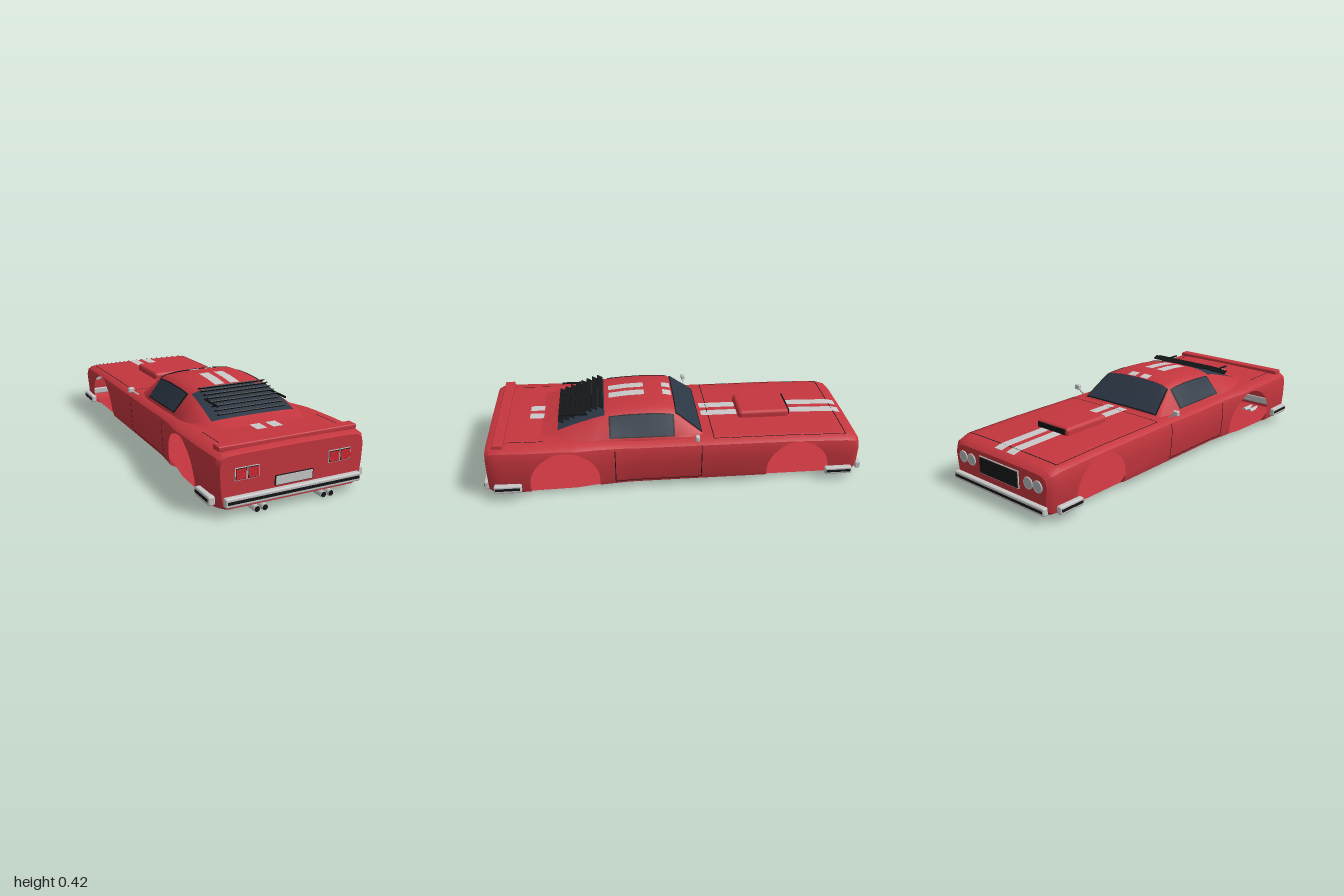
import * as THREE from 'three';
import { toCreasedNormals } from 'three/addons/utils/BufferGeometryUtils.js';
import { RoundedBoxGeometry } from 'three/addons/geometries/RoundedBoxGeometry.js';

const mat = (name, color, side = THREE.FrontSide) => {
  const m = new THREE.MeshStandardMaterial({ color, side });
  m.name = name;
  return m;
};
const paint = mat('red paint', 0xc5363e, THREE.DoubleSide);
const chrome = mat('chrome', 0xc6c6c6);
const stripe = mat('stripe grey', 0xc9c9c9, THREE.DoubleSide);
const black = mat('black trim', 0x141516, THREE.DoubleSide);
const glass = mat('tinted glass', 0x2c3745, THREE.DoubleSide);
const lamp = mat('tail lamp red', 0xd22832);
const lens = mat('headlamp lens', 0xb4b8ba);

// piecewise linear lookup in [key, value] pairs
function look(keys, t) {
  if (t <= keys[0][0]) return keys[0][1];
  for (let i = 1; i < keys.length; i++) {
    const [a, va] = keys[i - 1], [b, vb] = keys[i];
    if (t <= b) return b === a ? vb : va + (vb - va) * (t - a) / (b - a);
  }
  return keys[keys.length - 1][1];
}

// body outline along z; the nose points to -z
const HALF = [[-0.975, 0.325], [-0.955, 0.343], [-0.9, 0.354], [-0.2, 0.352], [0.25, 0.352], [0.4, 0.366], [0.52, 0.388], [0.75, 0.395], [0.9, 0.392], [0.95, 0.386], [0.972, 0.372]];
const TOP = [[-0.975, 0.222], [-0.955, 0.24], [-0.9, 0.254], [-0.6, 0.262], [0.2, 0.266], [0.4, 0.276], [0.6, 0.288], [0.9, 0.293], [0.95, 0.289], [0.972, 0.28]];
const LOW = [[-0.975, 0.04], [-0.94, 0.022], [0.92, 0.02], [0.972, 0.035]];
const ARCHES = [{ z: 0.58, y: 0.08, r: 0.178 }, { z: -0.645, y: 0.075, r: 0.165 }];

// side profile as [height, half width]
function bodyProfile(z) {
  const w = look(HALF, z), t = look(TOP, z), l = look(LOW, z);
  return [[l, w - 0.05], [l + 0.015, w - 0.02], [l + 0.05, w - 0.01], [0.15, w - 0.003], [t - 0.05, w],
    [t - 0.02, w - 0.008], [t - 0.004, w - 0.03], [t, w - 0.08], [t + 0.003, 0]];
}
const bodySide = (z, y) => look(bodyProfile(z), y);

// cabin outline along z
const ROOF = [[-0.155, 0.262], [-0.14, 0.272], [-0.01, 0.396], [0.03, 0.408], [0.13, 0.415], [0.25, 0.411], [0.35, 0.4], [0.42, 0.384], [0.52, 0.348], [0.62, 0.306], [0.72, 0.288]];
const SILL = [[-0.155, 0.285], [0, 0.303], [0.3, 0.305], [0.45, 0.315], [0.6, 0.3], [0.72, 0.26]];
const RAIL = [[-0.155, 0.262], [0, 0.226], [0.3, 0.22], [0.45, 0.222], [0.62, 0.235], [0.72, 0.23]];
function cabinProfile(z) {
  const b = look(TOP, z) - 0.012, h = look(ROOF, z) - b, s = look(SILL, z), r = look(RAIL, z);
  return [[0, s], [0.15, s - 0.007], [0.8, r], [0.92, r - 0.042], [0.98, r * 0.5], [1, 0]].map(([k, x]) => [b + k * h, x]);
}
const heightOf = (profile, x) => look(profile.map(([y, px]) => [px, y]).reverse(), Math.abs(x));
function surfaceY(z, x) {
  const body = heightOf(bodyProfile(z), x);
  return z > -0.155 && z < 0.72 && Math.abs(x) < look(SILL, z) ? Math.max(body, heightOf(cabinProfile(z), x)) : body;
}

// skin over sections, each a list of [x, y, z]
function loft(sections, caps) {
  const n = sections[0].length, pos = sections.flat(2), idx = [];
  for (let i = 0; i < sections.length - 1; i++) for (let j = 0; j < n - 1; j++) {
    const a = i * n + j, c = a + n;
    idx.push(a, a + 1, c, a + 1, c + 1, c);
  }
  if (caps) for (const end of [0, sections.length - 1]) {
    const centre = pos.length / 3, o = end * n;
    pos.push(0, 0.15, sections[end][0][2]);
    for (let j = 0; j < n; j++) {
      const a = o + j, b = o + (j + 1) % n;
      idx.push(centre, end ? a : b, end ? b : a);
    }
  }
  const g = new THREE.BufferGeometry();
  g.setAttribute('position', new THREE.Float32BufferAttribute(pos, 3));
  g.setIndex(idx);
  return toCreasedNormals(g, 0.6);
}
// mirrored ring from a half profile; points under the cut height slide up to it
function ring(profile, z, cut = -1) {
  const half = profile.map(([y]) => {
    const h = Math.max(y, cut);
    return [look(profile, h), h, z];
  });
  return [...half, ...half.slice(0, -1).reverse().map(([x, y]) => [-x, y, z])];
}
// thin sheet from a function of u, v
function sheet(fn, nu, nv) {
  const rows = [];
  for (let i = 0; i <= nu; i++) rows.push(Array.from({ length: nv + 1 }, (_, j) => fn(i / nu, j / nv)));
  return loft(rows);
}

export function createModel() {
  const car = new THREE.Group();
  car.name = 'car';
  const add = (name, geo, m, x = 0, y = 0, z = 0) => {
    const mesh = new THREE.Mesh(geo, m);
    mesh.name = name;
    mesh.position.set(x, y, z);
    car.add(mesh);
    return mesh;
  };
  const box = (name, m, w, h, d, x, y, z) => add(name, new THREE.BoxGeometry(w, h, d), m, x, y, z);
  const soft = (name, m, w, h, d, x, y, z, r = 0.008) => add(name, new RoundedBoxGeometry(w, h, d, 3, r), m, x, y, z);
  // sheet draped over the upper surfaces
  const drape = (name, m, x0, x1, z0, z1, lift = 0.003, x2 = x0, x3 = x1) => add(name, sheet((u, v) => {
    const z = z0 + (z1 - z0) * u, a = x0 + (x2 - x0) * u, b = x1 + (x3 - x1) * u, x = b + (a - b) * v;
    return [x, surfaceY(z, x) + lift, z];
  }, Math.max(2, Math.ceil(Math.abs(z1 - z0) * 50)), Math.max(1, Math.ceil(Math.abs(x1 - x0) * 40))), m);

  // hollow body shell with open wheel arches, and a flat floor
  const stations = [...new Set([...HALF, ...TOP, ...LOW].map(k => k[0]))]
    .filter(z => ARCHES.every(a => Math.abs(z - a.z) > a.r)).map(z => [z, -1]);
  for (const a of ARCHES) {
    stations.push([a.z - a.r - 1e-5, -1], [a.z + a.r + 1e-5, -1]);
    for (let i = 0; i <= 28; i++) {
      const t = Math.PI * i / 28;
      stations.push([a.z - a.r * Math.cos(t), a.y + a.r * Math.sin(t)]);
    }
  }
  stations.sort((a, b) => a[0] - b[0]);
  add('bodyShell', loft(stations.map(([z, cut]) => ring(bodyProfile(z), z, cut)), true), paint);
  add('floor', loft(stations.map(([z]) => {
    const [y, x] = bodyProfile(z)[0];
    return [[-x, y, z], [x, y, z]];
  })), paint);
  const cabinZ = [...new Set([...ROOF, ...SILL, ...RAIL].map(k => k[0]))].sort((a, b) => a - b);
  add('cabin', loft(cabinZ.map(z => ring(cabinProfile(z), z))), paint);

  // glass
  drape('windshieldSeal', black, -0.254, 0.254, -0.143, -0.002, 0.003, -0.222, 0.222);
  drape('windshield', glass, -0.246, 0.246, -0.138, -0.008, 0.006, -0.215, 0.215);
  drape('rearGlass', glass, -0.215, 0.215, 0.365, 0.61, 0.005, -0.228, 0.228);
  for (const s of [1, -1]) {
    const side = (name, m, z0, z1, k0, k1, off) => add(name, sheet((u, v) => {
      const z = z0 + (z1 - z0) * u, p = cabinProfile(z), y = p[0][0] + (p[5][0] - p[0][0]) * (k0 + (k1 - k0) * v);
      return [s * (look(p, y) + off), y + off * 0.6, z];
    }, 10, 4), m);
    side('sideWindowSeal', black, 0.005, 0.345, 0.16, 0.8, 0.003);
    side('sideWindow', glass, 0.014, 0.336, 0.19, 0.77, 0.006);
  }

  // rear window louvres
  for (let i = 0; i < 8; i++) {
    const z = 0.385 + i * 0.03;
    box('louvre', black, 0.37, 0.004, 0.03, 0, surfaceY(z, 0) + 0.016, z).rotation.x = -0.5;
  }
  for (const s of [1, -1]) box('louvreRail', black, 0.008, 0.008, 0.14, s * 0.186, 0.372, 0.525);

  // twin stripes
  for (const [a, b] of [[-0.94, -0.64], [-0.36, -0.16], [0.005, 0.05], [0.15, 0.34], [0.69, 0.765]])
    for (const s of [1, -1]) drape('stripe', stripe, s > 0 ? 0.016 : -0.07, s > 0 ? 0.07 : -0.016, a, b);

  // hood scoop and spoiler
  soft('hoodScoop', paint, 0.222, 0.07, 0.28, 0, 0.267, -0.5, 0.02);
  box('scoopIntake', black, 0.19, 0.026, 0.008, 0, 0.281, -0.641);
  soft('spoiler', paint, 0.72, 0.024, 0.055, 0, 0.3, 0.907, 0.006);

  // panel gaps
  for (const s of [1, -1]) {
    drape('hoodGap', black, s * 0.31 - 0.002, s * 0.31 + 0.002, -0.9, -0.2, 0.003);
    drape('trunkGap', black, s * 0.31 - 0.002, s * 0.31 + 0.002, 0.68, 0.87, 0.003);
    const gap = (z0, z1, y0, y1) => add('doorGap', sheet((u, v) => {
      const z = z0 + (z1 - z0) * u, y = y0 + (y1 - y0) * v;
      return [s * (bodySide(z, y) + 0.002), y, z];
    }, 4, 8), black);
    gap(-0.132, -0.128, 0.05, 0.245);
    gap(0.318, 0.322, 0.05, 0.245);
    gap(-0.13, 0.32, 0.05, 0.054);
  }
  drape('hoodGap', black, -0.31, 0.31, -0.902, -0.897, 0.003);
  drape('hoodGap', black, -0.31, 0.31, -0.2, -0.196, 0.003);

  // bumpers
  soft('rearBumper', chrome, 0.71, 0.044, 0.03, 0, 0.073, 0.982);
  box('rearBumperStrip', black, 0.69, 0.014, 0.004, 0, 0.073, 0.997);
  soft('frontBumper', chrome, 0.65, 0.04, 0.03, 0, 0.06, -0.985);
  box('frontBumperStrip', black, 0.63, 0.013, 0.004, 0, 0.06, -0.999);
  for (const s of [1, -1]) {
    soft('rearCornerBumper', chrome, 0.034, 0.044, 0.14, s * 0.393, 0.073, 0.872);
    box('rearCornerStrip', black, 0.004, 0.014, 0.125, s * 0.41, 0.076, 0.872);
    soft('frontCornerBumper', chrome, 0.03, 0.04, 0.145, s * 0.355, 0.06, -0.865);
    box('frontCornerStrip', black, 0.004, 0.013, 0.13, s * 0.37, 0.06, -0.865);
  }

  // tail lamps, plate and exhausts
  box('plateBorder', black, 0.2, 0.048, 0.006, 0, 0.128, 0.973);
  box('plate', stripe, 0.19, 0.041, 0.006, 0, 0.128, 0.976);
  for (const s of [1, -1]) for (const x of [0.211, 0.272]) {
    box('tailLampFrame', chrome, 0.058, 0.058, 0.006, s * x, 0.192, 0.973);
    box('tailLampRim', black, 0.052, 0.052, 0.006, s * x, 0.192, 0.975);
    for (let i = 0; i < 3; i++) box('tailLamp', lamp, 0.049, 0.0145, 0.006, s * x, 0.176 + i * 0.016, 0.977);
  }
  for (const x of [-0.195, -0.155, 0.155, 0.195]) {
    add('exhaustPipe', new THREE.CylinderGeometry(0.016, 0.016, 0.115, 20), chrome, x, 0.017, 0.93).rotation.x = Math.PI / 2;
    add('exhaustMouth', new THREE.CircleGeometry(0.0135, 20), black, x, 0.017, 0.9885);
  }

  // grille and headlamps
  box('grilleFrame', chrome, 0.28, 0.088, 0.008, 0, 0.158, -0.976);
  box('grille', black, 0.27, 0.079, 0.008, 0, 0.158, -0.979);
  for (let i = 0; i < 5; i++) box('grilleBar', black, 0.268, 0.005, 0.006, 0, 0.128 + i * 0.015, -0.984);
  for (const s of [1, -1]) for (const x of [0.205, 0.268]) {
    add('headlampRim', new THREE.TorusGeometry(0.027, 0.004, 8, 24), chrome, s * x, 0.163, -0.977);
    add('headlamp', new THREE.CylinderGeometry(0.026, 0.026, 0.008, 24), lens, s * x, 0.163, -0.976).rotation.x = Math.PI / 2;
  }

  // door mirrors
  for (const s of [1, -1]) {
    soft('mirror', chrome, 0.034, 0.028, 0.022, s * 0.358, 0.297, -0.105, 0.006);
    box('mirrorStalk', chrome, 0.04, 0.008, 0.01, s * 0.332, 0.278, -0.105).rotation.z = s * 0.6;
  }
  return car;
}
